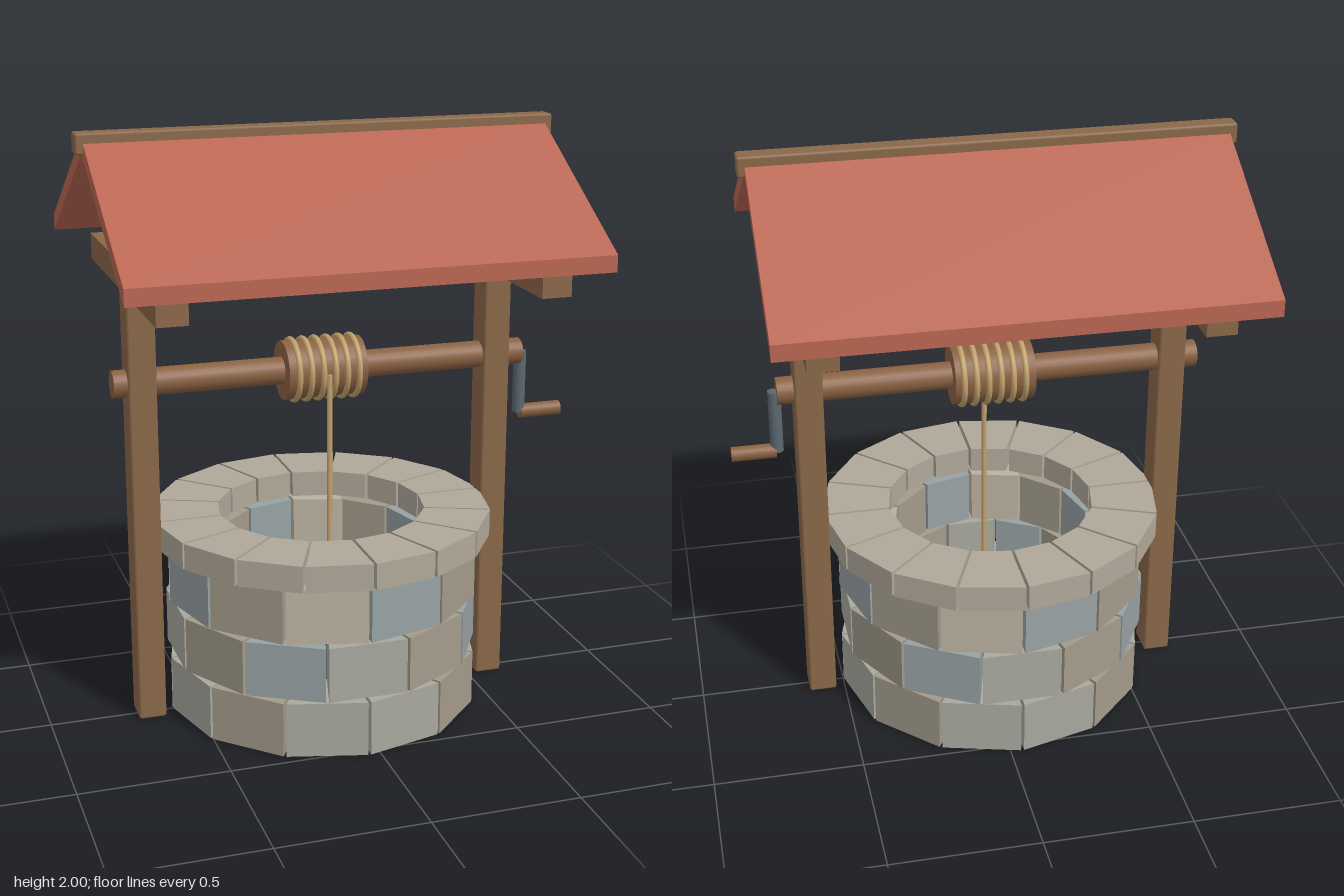
import * as THREE from 'three';
import { RoundedBoxGeometry } from 'three/addons/geometries/RoundedBoxGeometry.js';

const CX = -0.04; // centre line of well, posts and roof

const mat = (color, flatShading = false) => new THREE.MeshStandardMaterial({ color, flatShading });

function add(parent, name, geometry, material, x = 0, y = 0, z = 0) {
  const mesh = new THREE.Mesh(geometry, material);
  mesh.name = name;
  mesh.position.set(x, y, z);
  parent.add(mesh);
  return mesh;
}

// Cylinder lying along x between x0 and x1
function rod(parent, name, r, x0, x1, y, material) {
  const geo = new THREE.CylinderGeometry(r, r, x1 - x0, 24).rotateZ(Math.PI / 2);
  return add(parent, name, geo, material, (x0 + x1) / 2, y, 0);
}

// Flat-faced block filling the angle a0..a1 of a ring, with a narrow joint on both sides
function stoneGeometry(a0, a1, inner, outer, height, joint) {
  const corner = (r, a, side) => {
    const t = a + side * joint / 2 / r;
    return new THREE.Vector2(r * Math.cos(t), r * Math.sin(t));
  };
  const shape = new THREE.Shape([
    corner(inner, a0, 1), corner(outer, a0, 1), corner(outer, a1, -1), corner(inner, a1, -1),
  ]);
  return new THREE.ExtrudeGeometry(shape, { depth: height, bevelEnabled: false }).rotateX(-Math.PI / 2);
}

function stoneRing(parent, { name, count, shift, inner, outer, y, height, colors }) {
  const ring = new THREE.Group();
  ring.name = name;
  const step = Math.PI * 2 / count;
  const materials = colors.map((c) => mat(c, true));
  for (let i = 0; i < count; i++) {
    const a = (i + shift) * step;
    add(ring, 'stone', stoneGeometry(a, a + step, inner, outer, height, 0.01),
      materials[i % materials.length], 0, y, 0);
  }
  parent.add(ring);
}

export function createModel() {
  const model = new THREE.Group();
  model.name = 'well';
  const wood = mat(0x8a6849), axleWood = mat(0x8a6142), ropeMat = mat(0xc2a26c);
  const steel = mat(0x5a6770), roofMat = mat(0xb96653, true);

  // Stone wall: three staggered courses and an overhanging cap
  const wall = new THREE.Group();
  wall.name = 'stoneWall';
  wall.position.x = CX;
  model.add(wall);
  const tan = 0xa39b8b, blue = 0x98a2a3, beige = 0xbab1a1, grey = 0xa8a89e;
  [[grey, tan, grey], [tan, blue, grey], [blue, tan, beige]].forEach((colors, row) => {
    stoneRing(wall, {
      name: 'course', count: 12, shift: row % 2 ? 0.5 : 0, inner: 0.345, outer: 0.537,
      y: row * 0.199 + 0.003, height: 0.188, colors,
    });
  });
  stoneRing(wall, {
    name: 'capRing', count: 16, shift: 0, inner: 0.355, outer: 0.58, y: 0.6, height: 0.09, colors: [0xb0a899],
  });
  add(wall, 'water', new THREE.CylinderGeometry(0.332, 0.332, 0.015, 32), mat(0x2f4d58), 0, 0.045, 0);

  // Posts with cross beams
  for (const side of [-1, 1]) {
    const x = CX + side * 0.6175;
    add(model, 'post', new RoundedBoxGeometry(0.094, 1.59, 0.11, 1, 0.008), wood, x, 0.795, 0);
    add(model, 'crossBeam', new THREE.BoxGeometry(0.1, 0.09, 1.04), wood, x, 1.535, 0);
  }

  // Roof: two sloping panels meeting under a ridge beam
  for (const side of [-1, 1]) {
    const profile = new THREE.Shape([
      new THREE.Vector2(0, 1.932), new THREE.Vector2(side * 0.61, 1.58),
      new THREE.Vector2(side * 0.61, 1.635), new THREE.Vector2(0, 1.987),
    ]);
    const panel = new THREE.ExtrudeGeometry(profile, { depth: 1.555, bevelEnabled: false });
    panel.translate(0, 0, -1.555 / 2).rotateY(Math.PI / 2);
    add(model, 'roofPanel', panel, roofMat, CX);
  }
  add(model, 'ridgeBeam', new RoundedBoxGeometry(1.605, 0.068, 0.068, 1, 0.008), wood, CX, 1.966, 0);

  // Windlass
  const axisY = 1.18;
  rod(model, 'axle', 0.046, -0.75, 0.68, axisY, axleWood);
  rod(model, 'drum', 0.1, -0.175, 0.097, axisY, axleWood);
  for (let i = 0; i < 6; i++) {
    const coil = new THREE.TorusGeometry(0.102, 0.01, 8, 40).rotateY(Math.PI / 2);
    add(model, 'ropeCoil', coil, ropeMat, -0.14 + i * 0.0415, axisY, 0);
  }
  add(model, 'hangingRope', new THREE.CylinderGeometry(0.009, 0.009, 1.16, 10), ropeMat, CX, 0.6, 0.102);

  // Crank
  add(model, 'crankArm', new THREE.CylinderGeometry(0.022, 0.022, 0.22, 16), steel, 0.687, 1.07, 0);
  rod(model, 'crankHandle', 0.025, 0.69, 0.84, 0.96, axleWood);

  return model;
}
